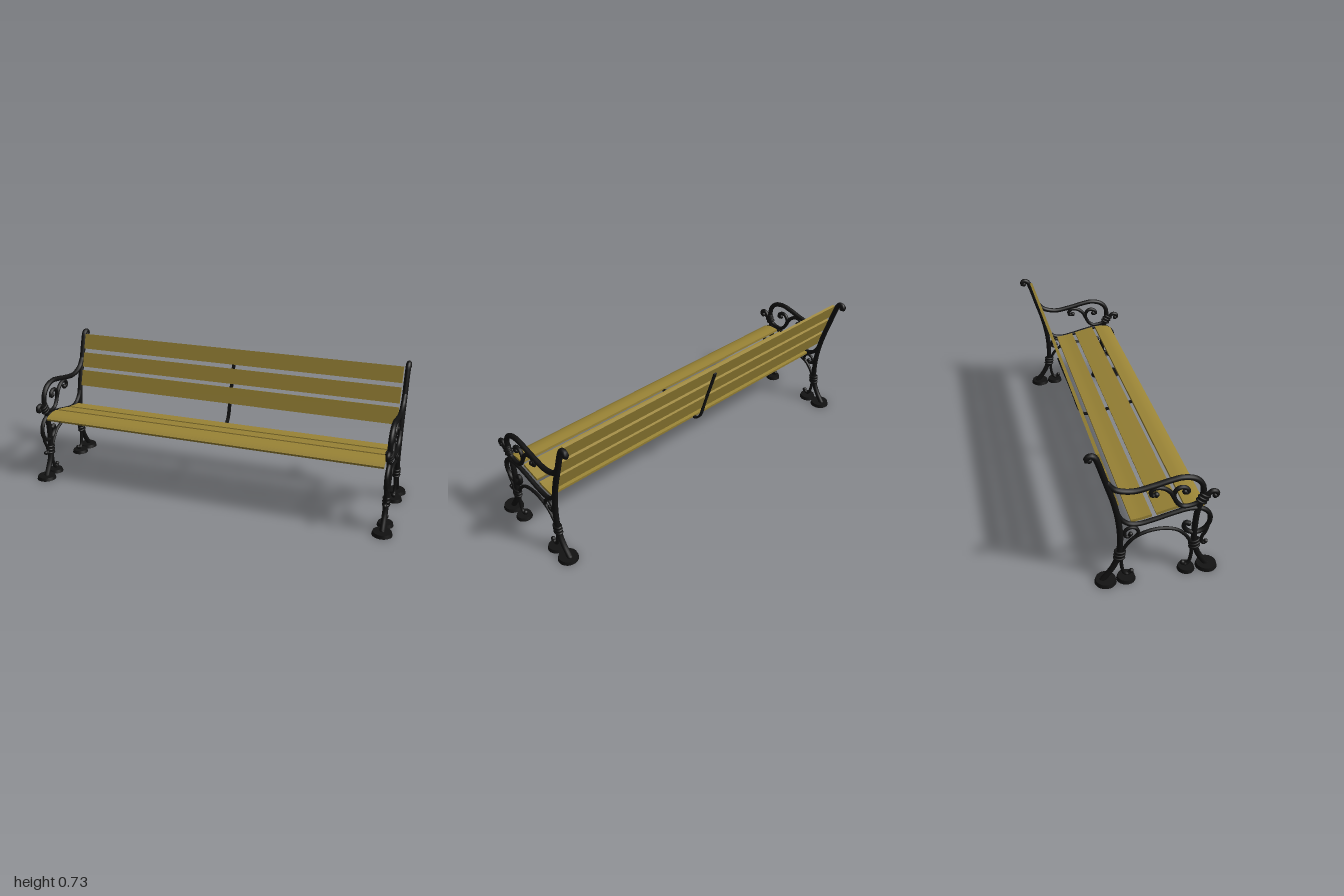
import * as THREE from 'three';

const iron = new THREE.MeshStandardMaterial({ color: 0x111111 });
const wood = new THREE.MeshStandardMaterial({ color: 0x9a8436 });

function add(parent, name, geometry, material = iron) {
  const mesh = new THREE.Mesh(geometry, material);
  mesh.name = name;
  parent.add(mesh);
  return mesh;
}

// Round iron bar through [z, y] points, with a ball closing each end
function bar(parent, name, pts, r, ballA = r, ballB = r) {
  const path = pts.map(([z, y]) => new THREE.Vector3(0, y, z));
  const g = new THREE.Group();
  g.name = name;
  parent.add(g);
  add(g, name + 'Bar', new THREE.TubeGeometry(new THREE.CatmullRomCurve3(path), pts.length * 7, r, 10));
  [[path[0], ballA], [path[path.length - 1], ballB]].forEach(([p, s]) => {
    if (s) add(g, name + 'Tip', new THREE.SphereGeometry(s, 12, 8)).position.copy(p);
  });
}

// Strip along x: upper [z, y] line, thickened downwards or backwards by t
function strip(parent, name, pts, t, width, material) {
  const top = new THREE.SplineCurve(pts.map(([z, y]) => new THREE.Vector2(-z, y)));
  const n = pts.length > 2 ? 24 : 1;
  const upper = [], lower = [];
  for (let i = 0; i <= n; i++) {
    const p = top.getPoint(i / n), d = top.getTangent(i / n);
    upper.push(p);
    lower.unshift(new THREE.Vector2(p.x + d.y * t, p.y - d.x * t));
  }
  const geo = new THREE.ExtrudeGeometry(new THREE.Shape([...upper, ...lower]), { depth: width, bevelEnabled: false });
  geo.translate(0, 0, -width / 2).rotateY(Math.PI / 2);
  add(parent, name, geo, material);
}

function endFrame(x, name) {
  const f = new THREE.Group();
  f.name = name;
  f.position.x = x;

  // Structural bars
  bar(f, 'backPost', [[-.236, .015], [-.192, .074], [-.163, .14], [-.155, .24], [-.165, .354], [-.188, .46],
    [-.221, .567], [-.254, .673], [-.268, .706], [-.286, .717], [-.303, .708], [-.301, .697], [-.293, .697]], .0142);
  bar(f, 'armRest', [[-.215, .563], [-.182, .524], [-.105, .501], [-.008, .514], [.07, .531], [.128, .538],
    [.186, .522], [.219, .484], [.227, .412]], .0135);
  bar(f, 'frontLeg', [[.222, .405], [.206, .35], [.197, .27], [.197, .18], [.215, .095], [.262, .015]], .0142);
  bar(f, 'seatRail', [[-.17, .39], [-.148, .35], [-.115, .323], [-.07, .315], [0, .326], [.09, .347], [.167, .359],
    [.23, .346], [.263, .31], [.265, .265], [.24, .227], [.205, .215], [.165, .228], [.144, .258], [.152, .281],
    [.166, .272]], .0115, .0115, .013);

  // Scrolls
  bar(f, 'armTipScroll', [[.232, .402], [.25, .426], [.27, .439], [.289, .432], [.292, .417], [.282, .412]], .0115, 0, .013);
  bar(f, 'armScroll', [[.225, .405], [.19, .381], [.13, .379], [.095, .42], [.089, .455], [.105, .48], [.13, .484],
    [.152, .469], [.152, .452], [.138, .458]], .0105, 0, .013);
  bar(f, 'armBranchScroll', [[.093, .425], [.07, .468], [.035, .495], [0, .499], [-.018, .482], [-.013, .463],
    [.006, .464]], .0105, 0, .014);
  bar(f, 'frontDropScroll', [[.262, .262], [.253, .215], [.234, .18], [.233, .152], [.246, .142], [.254, .15]], .0085, 0, .011);
  bar(f, 'rearLoopScroll', [[-.085, .24], [-.071, .26], [-.08, .289], [-.105, .3], [-.131, .286], [-.134, .258],
    [-.117, .249], [-.107, .262]], .0085, 0, .011);
  bar(f, 'underArch', [[.147, .04], [.16, .026], [.177, .038], [.188, .1], [.178, .165], [.13, .232], [.08, .259],
    [.016, .268], [-.05, .257], [-.1, .23], [-.142, .17], [-.148, .1], [-.135, .038], [-.118, .026], [-.1, .04]],
    .0085, .012, .012);

  // Wrapped collars at the joints
  [[.198, .152, -.1], [-.157, .152, .1], [.227, .408, .5]].forEach(([z, y, tilt]) => {
    const collar = new THREE.Group();
    collar.name = 'collar';
    collar.position.set(0, y, z);
    collar.rotation.x = tilt;
    f.add(collar);
    add(collar, 'collarCore', new THREE.CylinderGeometry(.024, .024, .036, 16)).scale.x = .75;
    [-.018, 0, .018].forEach(dy => {
      const ring = add(collar, 'collarRing', new THREE.TorusGeometry(.023, .006, 8, 18));
      ring.rotation.x = Math.PI / 2;
      ring.scale.x = .72;
      ring.position.y = dy;
    });
  });

  // Paired round floor pads
  [[.265, .052], [.165, .042], [-.222, .052], [-.125, .045]].forEach(([z, r]) => {
    add(f, 'footPad', new THREE.CylinderGeometry(r - .005, r, .018, 28)).position.set(0, .009, z);
  });
  return f;
}

export function createModel() {
  const bench = new THREE.Group();
  bench.name = 'bench';
  bench.add(endFrame(.945, 'leftEndFrame'), endFrame(-.945, 'rightEndFrame'));

  // Seat slats, the front one rounded over
  const seat = new THREE.Group();
  seat.name = 'seatSlats';
  strip(seat, 'frontSeatSlat', [[.247, .354], [.225, .366], [.19, .373], [.145, .372]], .014, 1.85, wood);
  strip(seat, 'middleSeatSlat', [[.125, .369], [.07, .357], [.015, .344]], .014, 1.85, wood);
  strip(seat, 'rearSeatSlat', [[-.005, .341], [-.055, .331], [-.102, .326]], .014, 1.85, wood);

  // Back slats
  const back = new THREE.Group();
  back.name = 'backSlats';
  [[[-.219, .628], [-.245, .71]], [[-.187, .526], [-.213, .606]], [[-.155, .42], [-.182, .506]]].forEach(line =>
    strip(back, 'backSlat', line, .014, 1.85, wood));
  bench.add(seat, back);

  // Flat centre brace under the seat and up the back
  strip(bench, 'centreBrace', [[.235, .352], [.19, .362], [.13, .361], [.06, .347], [-.02, .33], [-.09, .318],
    [-.128, .328], [-.152, .365], [-.168, .42], [-.194, .506], [-.227, .606], [-.248, .672]], .008, .018, iron);
  return bench;
}
